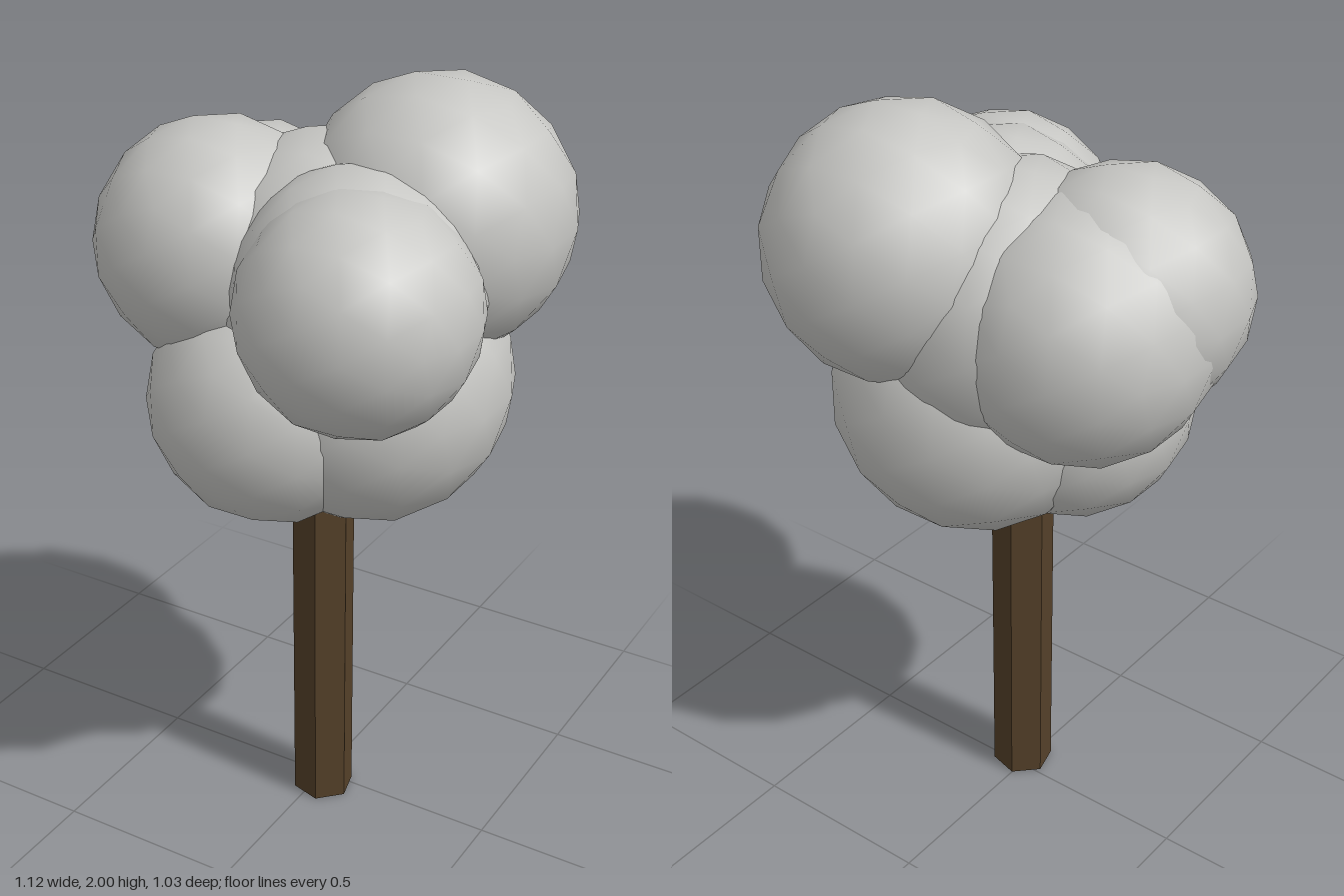
import * as THREE from 'three';

export function createModel() {
  const model = new THREE.Group();
  model.name = 'tree';

  const foliage = new THREE.MeshStandardMaterial({ color: 0xc6c6c3 });
  foliage.name = 'pale grey foliage';
  const bark = new THREE.MeshStandardMaterial({ color: 0x544029, flatShading: true });
  bark.name = 'brown bark';

  // Six-sided trunk, running up into the crown
  const trunkHeight = 1.1;
  const trunk = new THREE.Mesh(new THREE.CylinderGeometry(0.082, 0.082, trunkHeight, 6), bark);
  trunk.name = 'trunk';
  trunk.rotation.y = Math.PI / 12;
  trunk.position.set(0.022, trunkHeight / 2, 0.035);
  model.add(trunk);

  // Crown of overlapping, smooth low-poly leaf clumps: name, x, y, z, radius
  const clumps = [
    ['backRightClump', 0.215, 1.66, -0.18, 0.347],
    ['frontRightClump', 0.228, 1.55, 0.225, 0.296],
    ['frontRightInnerClump', 0.17, 1.55, 0.12, 0.31],
    ['leftClump', -0.262, 1.58, 0.065, 0.31],
    ['backLeftClump', -0.22, 1.515, -0.045, 0.335],
    ['middleClump', 0, 1.515, -0.045, 0.36],
    ['lowerFrontClump', -0.075, 1.215, 0.112, 0.32],
    ['lowerBackClump', 0.1, 1.25, -0.05, 0.372],
  ];
  const crown = new THREE.Group();
  crown.name = 'crown';
  clumps.forEach(([name, x, y, z, radius]) => {
    const clump = new THREE.Mesh(new THREE.IcosahedronGeometry(radius, 2), foliage);
    clump.name = name;
    clump.position.set(x, y, z);
    crown.add(clump);
  });
  model.add(crown);

  return model;
}
